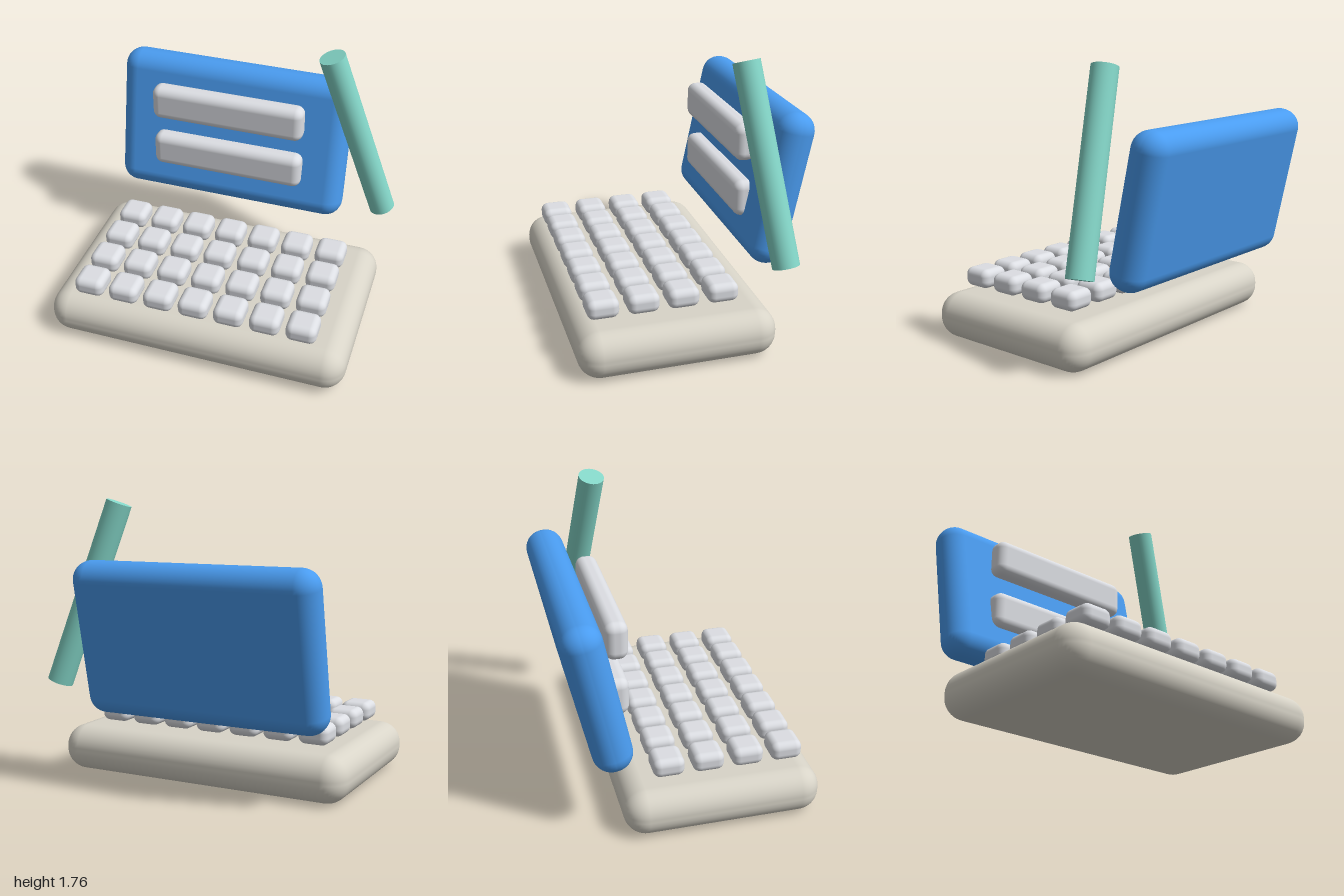
import * as THREE from 'three';
import { RoundedBoxGeometry } from 'three/addons/geometries/RoundedBoxGeometry.js';

const material = (color) => new THREE.MeshStandardMaterial({ color });

export function createModel() {
  const model = new THREE.Group();
  model.name = 'deskTerminal';

  const beige = material(0xd8d4c8);
  const blue = material(0x4a9cf0);
  const pale = material(0xdcdee3);
  const teal = material(0x84d6c8);

  const addBox = (parent, name, size, radius, position, mat) => {
    const mesh = new THREE.Mesh(new RoundedBoxGeometry(...size, 5, radius), mat);
    mesh.name = name;
    mesh.position.set(...position);
    parent.add(mesh);
    return mesh;
  };

  // Thick rounded base
  addBox(model, 'base', [1.945, 0.29, 1.21], 0.135, [-0.0275, 0.145, 0.16], beige);

  // Four rows of seven keys
  const keys = new THREE.Group();
  keys.name = 'keys';
  for (let row = 0; row < 4; row++) {
    for (let col = 0; col < 7; col++) {
      addBox(keys, 'key', [0.193, 0.12, 0.193], 0.045,
        [-0.735 + col * 0.2315, 0.37, -0.15 + row * 0.244], pale);
    }
  }
  model.add(keys);

  // Screen panel leaning backwards
  const screen = addBox(model, 'screen', [1.58, 0.97, 0.24], 0.115, [-0.15, 0.917, -0.57], blue);
  screen.rotation.x = -0.209;

  // Two upright display strips in front of the screen
  for (const y of [1.16, 0.795]) {
    addBox(model, 'displayStrip', [1.03, 0.235, 0.138], 0.055, [-0.149, y, -0.415], pale);
  }

  // Slanted stylus beside the screen
  const bottom = new THREE.Vector3(0.917, 0.592, -0.46);
  const top = new THREE.Vector3(0.54, 1.73, -0.323);
  const axis = top.clone().sub(bottom);
  const stylus = new THREE.Mesh(new THREE.CylinderGeometry(0.082, 0.082, axis.length(), 32), teal);
  stylus.name = 'stylus';
  stylus.position.copy(bottom).add(top).multiplyScalar(0.5);
  stylus.quaternion.setFromUnitVectors(new THREE.Vector3(0, 1, 0), axis.normalize());
  model.add(stylus);

  return model;
}
